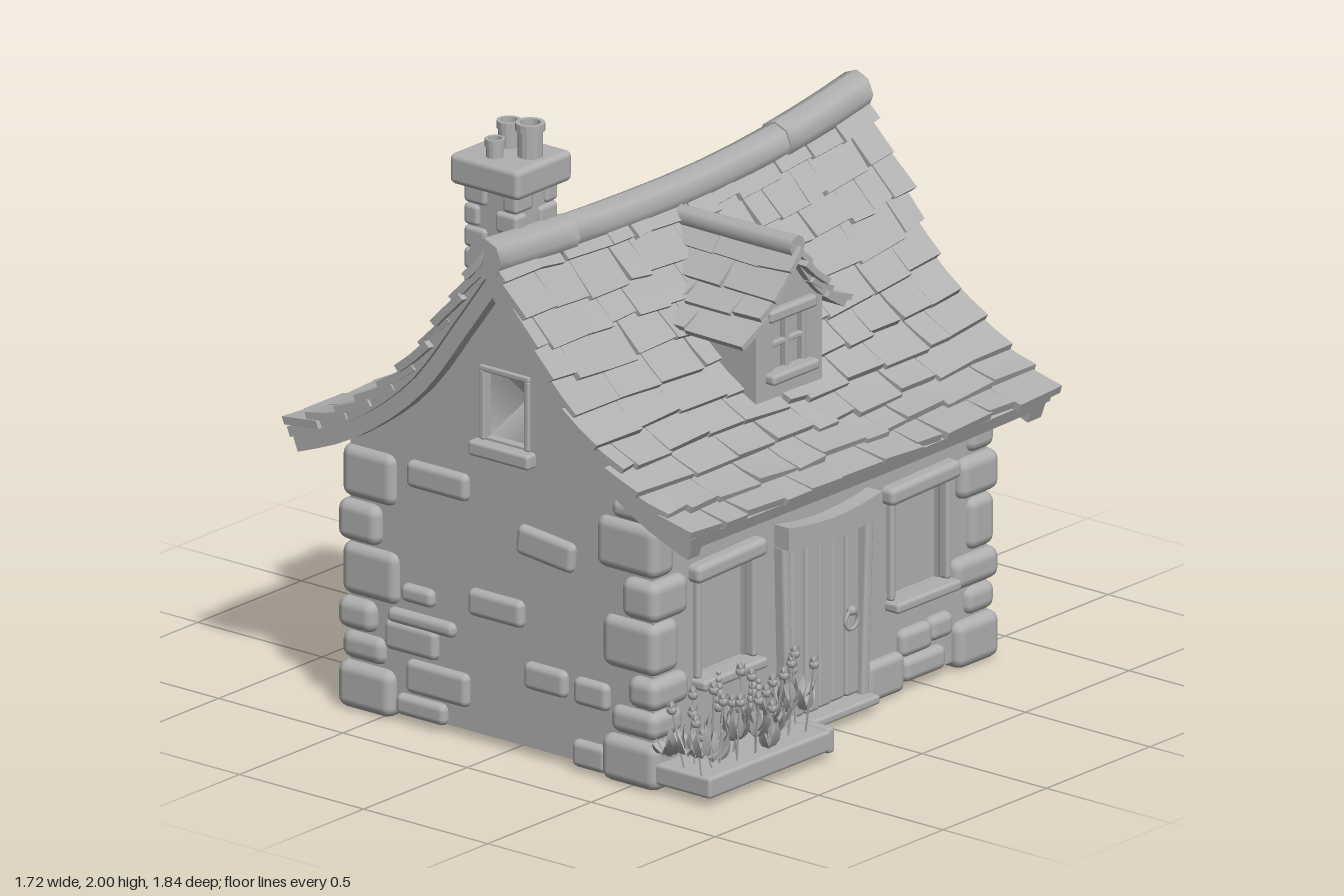
import * as THREE from 'three';
import { mergeGeometries } from 'three/addons/utils/BufferGeometryUtils.js';
import { RoundedBoxGeometry } from 'three/addons/geometries/RoundedBoxGeometry.js';

const stoneGrey = new THREE.MeshStandardMaterial({ color: 0xb0b0b0, side: THREE.DoubleSide });
stoneGrey.name = 'stone grey';
const CX = -0.035;            // centre line of the house
const WALL_R = 0.575, WALL_L = -0.645, WALL_F = 0.79, WALL_B = -0.82;

let seed = 7;
const rnd = (a = 0, b = 1) => {
  seed = (seed * 16807) % 2147483647;
  return a + (b - a) * seed / 2147483647;
};
const lerp = THREE.MathUtils.lerp;
const clamp = THREE.MathUtils.clamp;
const V2 = (x, y) => new THREE.Vector2(x, y);

// the old roof sags in the middle and rises to the back
const sag = (y, z) => clamp((y - 0.75) / 0.85, 0, 1) * (z > 0 ? 0.04 : 0.11) * z * z;

// roof profile: distance from ridge and height, offset along its normal
function profile(pts) {
  const curve = new THREE.SplineCurve(pts.map(p => V2(...p)));
  const at = (s, off = 0) => {
    const c = clamp(s, 0, 1), p = curve.getPointAt(c), t = curve.getTangentAt(c);
    return V2(p.x - t.y * off + t.x * (s - c), p.y + t.x * off + t.y * (s - c));
  };
  return { at, length: curve.getLength() };
}
// points of one slope from ridge to eave, with the ridge point on the axis
function slope(prof, off, n = 14) {
  const t = prof.at(0.02).sub(prof.at(0)).normalize();
  const out = [V2(0, prof.at(0).y + off / t.x)];
  for (let i = 0; i <= n; i++) {
    const p = prof.at(i / n, off);
    if (p.x > 0.012) out.push(p);
  }
  return out;
}
const bothSides = pts => [...pts.slice(1).reverse().map(p => V2(-p.x, p.y)), ...pts];

const mainRoof = profile([[0, 1.63], [0.17, 1.4], [0.36, 1.16], [0.6, 0.985], [0.82, 0.895]]);
const dormerRoof = profile([[0, 1.56], [0.08, 1.45], [0.16, 1.37], [0.255, 1.31]]);

function reshape(geo, rule) {
  const p = geo.attributes.position, v = new THREE.Vector3();
  for (let i = 0; i < p.count; i++) {
    rule(v.fromBufferAttribute(p, i));
    p.setXYZ(i, v.x, v.y, v.z);
  }
  geo.computeVertexNormals();
  return geo;
}

// overlapping shingles in rows down one slope
function shingles(prof, rows, from, to, width, thick, flip, toWorld) {
  const tiles = [];
  for (let r = 0; r < rows; r++) {
    let w = from + rnd(-0.01, 0.01);
    while (w < to - 0.02) {
      let end = w + rnd(...width);
      if (to - end < width[0] * 0.6) end = to + rnd(-0.015, 0.01);
      const a = w, b = end, s0 = (r - 0.25) / rows, s1 = (r + 1.1 + rnd(-0.12, 0.12)) / rows;
      const lift = [rnd(0.3, 1), rnd(0.3, 1)], skew = rnd(-0.012, 0.012), slant = rnd(-0.1, 0.1) / rows;
      tiles.push(reshape(new THREE.BoxGeometry(1, 1, 1, 2, 1, 1), v => {
        const u = v.x + 0.5, k = v.z > 0 ? 1 : 0, k2 = flip ? 1 - k : k;
        const off = lerp(-0.022, -0.005 + thick * 0.6 * lift[k2], u) + v.y * thick;
        const p = prof.at(Math.max(0, lerp(s0, s1, u) + slant * (k2 - 0.5) * u), off);
        toWorld(v, Math.max(p.x, 0), p.y, lerp(a + 0.002, b - 0.002, k2) + skew * u);
      }));
      w = end;
    }
  }
  return mergeGeometries(tiles);
}

export function createModel() {
  const root = new THREE.Group();
  root.name = 'cottage';
  const add = (name, geo, x = 0, y = 0, z = 0, parent = root) => {
    const m = new THREE.Mesh(geo, stoneGrey);
    m.name = name;
    m.position.set(x, y, z);
    parent.add(m);
    return m;
  };
  const block = (name, w, h, d, x, y, z, r = 0.025) =>
    add(name, new RoundedBoxGeometry(w, h, d, 2, Math.min(r, w * 0.45, h * 0.45, d * 0.45)), x, y, z);
  const rectHole = (x0, x1, y0, y1) => new THREE.Path([V2(x0, y0), V2(x0, y1), V2(x1, y1), V2(x1, y0)]);
  const extrude = (shape, depth, steps = 1) =>
    new THREE.ExtrudeGeometry(shape, { depth, steps, bevelEnabled: false });

  // gable walls with a small recessed window and sill
  const top = bothSides(slope(mainRoof, -0.055)).filter(p => Math.abs(p.x) < 0.6);
  for (const [z, s] of [[WALL_F, 1], [WALL_B, -1]]) {
    const shape = new THREE.Shape([V2(0.61, 0.03), V2(0.61, 0.93), ...top.slice().reverse(), V2(-0.61, 0.93), V2(-0.61, 0.03)]);
    shape.holes.push(rectHole(-0.075, 0.105, 1.0, 1.23));
    const geo = extrude(shape, 0.06).translate(CX, 0, s > 0 ? z - 0.06 : z);
    add('gableWall', reshape(geo, v => { v.y += sag(v.y, v.z); }));
    const pane = new THREE.ConeGeometry(Math.SQRT1_2, 1, 4, 1, true).rotateY(Math.PI / 4).rotateX(-s * Math.PI / 2);
    add('gableWindow', pane, -0.02, 1.125, z - s * 0.07).scale.set(0.19, 0.26, 0.09);
    block('gableSill', 0.245, 0.05, 0.06, -0.02, 0.975, z + s * 0.01, 0.012);
    for (const x of [-0.11, 0.07]) block('gableWindowFrame', 0.02, 0.23, 0.04, x, 1.115, z - s * 0.01, 0.006);
    block('gableLintel', 0.2, 0.02, 0.04, -0.02, 1.235, z - s * 0.01, 0.006);
  }

  // long walls, the entrance side with two windows
  const windows = [[0.45, 0.27], [-0.485, 0.27]];
  const side = new THREE.Shape([V2(-WALL_F, 0.03), V2(-WALL_B, 0.03), V2(-WALL_B, 0.96), V2(-WALL_F, 0.96)]);
  for (const [z, w] of windows) side.holes.push(rectHole(-z - w / 2, -z + w / 2, 0.31, 0.65));
  add('entranceWall', extrude(side, 0.06).rotateY(Math.PI / 2), WALL_R - 0.06);
  add('plainWall', new THREE.BoxGeometry(0.06, 0.93, 1.61), WALL_L + 0.03, 0.495, -0.015);
  add('floor', new THREE.BoxGeometry(1.2, 0.02, 1.6), CX, 0.04, -0.015);
  for (const [z, w] of windows) {
    add('windowPane', new THREE.BoxGeometry(0.02, 0.36, w + 0.02), WALL_R - 0.055, 0.48, z);
    block('windowLintel', 0.07, 0.06, 0.34, WALL_R + 0.01, 0.67, z, 0.02).rotation.x = 0.03;
    block('windowSill', 0.08, 0.035, 0.31, WALL_R + 0.015, 0.3, z, 0.012);
    for (const s of [-1, 1]) block('windowPost', 0.04, 0.33, 0.025, WALL_R, 0.48, z + s * w / 2, 0.01);
  }

  // corner stones, alternating long and short
  const courses = [[0, 0.16, 0.2], [0.16, 0.26, 0.17], [0.26, 0.37, 0.13], [0.37, 0.55, 0.21], [0.55, 0.69, 0.14], [0.69, 0.87, 0.22], [0.87, 0.94, 0.18]];
  for (const sx of [-1, 1]) for (const sz of [-1, 1]) courses.forEach(([y0, y1, len], i) => {
    if (i === 6 && sx < 0) return;
    const out = 0.035 - (i % 2) * 0.01;
    const lx = len + rnd(-0.01, 0.03), lz = (i % 2 ? 0.13 : 0.19) + rnd(-0.02, 0.03);
    const x = (sx > 0 ? WALL_R : WALL_L) + sx * out, z = (sz > 0 ? WALL_F : WALL_B) + sz * out;
    block('cornerStone', lx, y1 - y0 - 0.006, lz, x - sx * lx / 2, (y0 + y1) / 2, z - sz * lz / 2, 0.035);
  });

  // stones showing through the plaster: position, height, width, height, tilt
  const gableStones = [[-0.285, 0.825, 0.245, 0.09], [0.15, 0.7, 0.23, 0.1, -0.1], [-0.05, 0.46, 0.22, 0.09],
    [-0.365, 0.43, 0.13, 0.06], [-0.35, 0.345, 0.27, 0.05], [-0.39, 0.28, 0.21, 0.1], [-0.285, 0.16, 0.25, 0.11],
    [0.15, 0.27, 0.17, 0.09], [0.335, 0.265, 0.14, 0.09], [-0.35, 0.06, 0.2, 0.07], [0.33, 0.06, 0.14, 0.09]];
  for (const [x, y, w, h, t = 0] of gableStones) {
    block('wallStone', w, h, 0.05, x, y, WALL_F, 0.022).rotation.z = t;
    block('wallStone', w, h, 0.05, -0.07 - x, y, WALL_B, 0.022).rotation.z = -t;
  }
  const plainStones = [[0.5, 0.74, 0.2, 0.08], [0.1, 0.78, 0.18, 0.07], [-0.35, 0.7, 0.2, 0.08], [0.35, 0.5, 0.16, 0.07],
    [-0.1, 0.45, 0.2, 0.08], [-0.5, 0.4, 0.16, 0.08], [0.48, 0.25, 0.2, 0.09], [0.15, 0.2, 0.16, 0.07],
    [-0.3, 0.16, 0.2, 0.09], [0.45, 0.07, 0.16, 0.08], [-0.5, 0.07, 0.18, 0.09]];
  for (const [z, y, w, h] of plainStones) block('wallStone', 0.05, h, w, WALL_L, y, z, 0.022);
  for (const [z, y, w, h] of [[-0.31, 0.075, 0.18, 0.13], [-0.46, 0.16, 0.15, 0.09], [-0.58, 0.17, 0.11, 0.08], [-0.5, 0.07, 0.2, 0.08]])
    block('wallStone', 0.06, h, w, WALL_R, y, z, 0.025);

  // plank door with frame, lintel, step and ring handle
  for (let i = 0; i < 5; i++)
    block('doorPlank', 0.03, 0.58, 0.066, WALL_R + rnd(0.005, 0.02), 0.355, 0.125 - i * 0.068, 0.012);
  for (const [z, t] of [[0.18, 0.03], [-0.205, -0.04]])
    block('doorPost', 0.06, 0.6, 0.035, WALL_R + 0.01, 0.35, z, 0.012).rotation.x = t;
  add('doorLintel', reshape(new THREE.BoxGeometry(0.08, 0.075, 0.45, 1, 1, 6), v => { v.y += v.z * v.z * 0.45 - 0.01; }), WALL_R + 0.02, 0.665, -0.02);
  block('doorStep', 0.1, 0.03, 0.41, WALL_R + 0.03, 0.045, -0.01, 0.01);
  add('doorRing', new THREE.TorusGeometry(0.03, 0.007, 6, 16).rotateY(Math.PI / 2), WALL_R + 0.045, 0.325, -0.115);
  add('doorKnob', new THREE.SphereGeometry(0.016, 8, 6), WALL_R + 0.045, 0.355, -0.115);

  // roof deck and layered gable boards
  const band = (name, o0, o1, z0, z1, steps) => {
    const shape = new THREE.Shape([...bothSides(slope(mainRoof, o0)), ...bothSides(slope(mainRoof, o1)).reverse()]);
    const geo = extrude(shape, z1 - z0, steps).translate(CX, 0, z0);
    add(name, reshape(geo, v => { v.y += sag(v.y, v.z); }));
  };
  band('roofDeck', -0.015, -0.06, -0.86, 0.82, 10);
  for (const [z0, z1, f0, f1] of [[0.78, 0.835, 0.78, 0.85], [-0.875, -0.81, -0.895, -0.81]]) {
    band('gableBoard', -0.04, -0.095, z0, z1, 1);
    band('gableTrim', -0.012, -0.045, f0, f1, 1);
  }
  for (const s of [-1, 1]) {
    add('roofShingles', shingles(mainRoof, 10, -0.92, 0.87, [0.09, 0.23], 0.026, s < 0, (v, d, y, w) =>
      v.set(CX + s * d, y + sag(y, w), w)));
  }

  // ridge caps
  for (const [z0, z1, r] of [[0.49, 0.875, 0.068], [-0.54, 0.5, 0.062], [-0.925, -0.53, 0.068]]) {
    const geo = new THREE.CylinderGeometry(r, r, z1 - z0, 8, 6).rotateX(Math.PI / 2).translate(CX, 1.6, (z0 + z1) / 2);
    add('ridgeCap', reshape(geo, v => { v.y += sag(1.65, v.z); }));
  }

  // chimney with stones, slab and pots
  const hx = -0.14, hz = 0.62;
  add('chimneyShaft', new THREE.BoxGeometry(0.19, 0.55, 0.18), hx, 1.54, hz);
  for (let i = 0; i < 6; i++) for (const sx of [-1, 1]) for (const sz of [-1, 1]) {
    const w = (i + (sx * sz > 0 ? 1 : 0)) % 2 ? 0.09 : 0.06, d = 0.15 - w;
    block('chimneyStone', w, 0.07, d, hx + sx * (0.108 - w / 2), 1.4 + i * 0.073, hz + sz * (0.104 - d / 2), 0.015);
  }
  block('chimneySlab', 0.28, 0.1, 0.27, hx, 1.84, hz, 0.02);
  for (const [x, z, r, y] of [[-0.18, 0.58, 0.04, 1.975], [-0.07, 0.61, 0.047, 2.0], [-0.15, 0.685, 0.032, 1.95]]) {
    const h = y - 1.87;
    const pts = [V2(r * 0.85, 0), V2(r * 0.85, h - 0.025), V2(r, h - 0.025), V2(r, h), V2(r * 0.7, h), V2(r * 0.7, 0.02), V2(0, 0.02)];
    add('chimneyPot', new THREE.LatheGeometry(pts, 14).toNonIndexed(), x, 1.87, z).geometry.computeVertexNormals();
  }

  // dormer with window
  const dz = -0.01;
  const face = new THREE.Shape([V2(-0.16, 1.02), V2(0.16, 1.02), V2(0.16, 1.36), V2(0.08, 1.43), V2(0, 1.53), V2(-0.08, 1.43), V2(-0.16, 1.36)]);
  add('dormerBody', extrude(face, 0.32).rotateY(Math.PI / 2), 0.1, 0, dz);
  face.holes.push(rectHole(-0.08, 0.08, 1.14, 1.34));
  add('dormerFront', extrude(face, 0.035).rotateY(Math.PI / 2), 0.42, 0, dz);
  block('dormerLintel', 0.05, 0.04, 0.225, 0.455, 1.34, dz, 0.012);
  block('dormerSill', 0.06, 0.035, 0.225, 0.46, 1.135, dz, 0.012);
  for (const z of [-0.08, 0, 0.08]) block('dormerFrame', 0.025, 0.19, 0.02, 0.44, 1.235, dz + z, 0.005);
  block('dormerBar', 0.02, 0.018, 0.16, 0.44, 1.235, dz, 0.005);
  const lining = new THREE.Shape([...bothSides(slope(dormerRoof, -0.005, 8)), ...bothSides(slope(dormerRoof, -0.03, 8)).reverse()]);
  add('dormerDeck', extrude(lining, 0.46).rotateY(Math.PI / 2), 0.02, 0, dz);
  for (const s of [-1, 1])
    add('dormerShingles', shingles(dormerRoof, 4, 0.02, 0.505, [0.16, 0.26], 0.02, s > 0, (v, d, y, w) => v.set(w, y, dz + s * d)));
  add('dormerRidge', new THREE.CylinderGeometry(0.036, 0.033, 0.47, 8).rotateZ(-Math.PI / 2), 0.255, 1.55, dz);

  // planter bed with leaves and flowers
  block('planter', 0.26, 0.07, 0.59, 0.69, 0.065, 0.515, 0.012);
  block('planterEnd', 0.27, 0.085, 0.035, 0.685, 0.065, 0.22, 0.012);
  const leafShape = new THREE.Shape();
  leafShape.moveTo(0, 0);
  leafShape.quadraticCurveTo(0.034, 0.05, 0, 0.105);
  leafShape.quadraticCurveTo(-0.034, 0.05, 0, 0);
  const leaf = reshape(new THREE.ShapeGeometry(leafShape, 4), v => { v.z = Math.abs(v.x) * 0.5 - v.y * v.y * 4; });
  const place = (geo, x, y, z, tilt, turn, k = 1) =>
    geo.clone().scale(k, k, k).rotateX(tilt).rotateY(turn).translate(x, y, z);
  const leaves = [], blooms = [], stems = [];
  const cup = new THREE.SphereGeometry(0.017, 7, 5), petal = leaf.clone().scale(0.6, 0.36, 0.36);
  for (let i = 0; i < 22; i++) {
    const x = rnd(0.62, 0.79), z = 0.25 + i * 0.026 + rnd(-0.02, 0.02), y = 0.1 + rnd(0, 0.08);
    for (let j = 0; j < 6; j++) leaves.push(place(leaf, x, y, z, rnd(0.4, 1.25), j * 1.05 + rnd(0, 0.6), rnd(0.7, 1.1)));
    const h = rnd(0.08, 0.2), fx = x + rnd(-0.03, 0.05), fz = z + rnd(-0.02, 0.04);
    const path = new THREE.LineCurve3(new THREE.Vector3(x, 0.09, z), new THREE.Vector3(fx, y + h, fz));
    stems.push(new THREE.TubeGeometry(path, 1, 0.004, 4));
    blooms.push(place(cup, fx, y + h, fz, 0, 0));
    for (let j = 0; j < 5; j++) blooms.push(place(petal, fx, y + h - 0.01, fz, 0.7, j * 1.257));
  }
  // leaves hanging over the front corner
  for (let j = 0; j < 8; j++) leaves.push(place(leaf, 0.67, 0.15, 0.82, rnd(0.5, 1.4), rnd(-1, 1), 0.9));
  // tall flower spikes
  for (const [x, z, h] of [[0.72, 0.485, 0.34], [0.7, 0.43, 0.29], [0.68, 0.6, 0.36]])
    for (let k = 0; k < 6; k++) blooms.push(place(cup, x, h - k * 0.022, z, 0, k, 0.5 + k * 0.13));
  add('leaves', mergeGeometries(leaves));
  add('flowers', mergeGeometries(blooms));
  add('stems', mergeGeometries(stems));
  return root;
}
